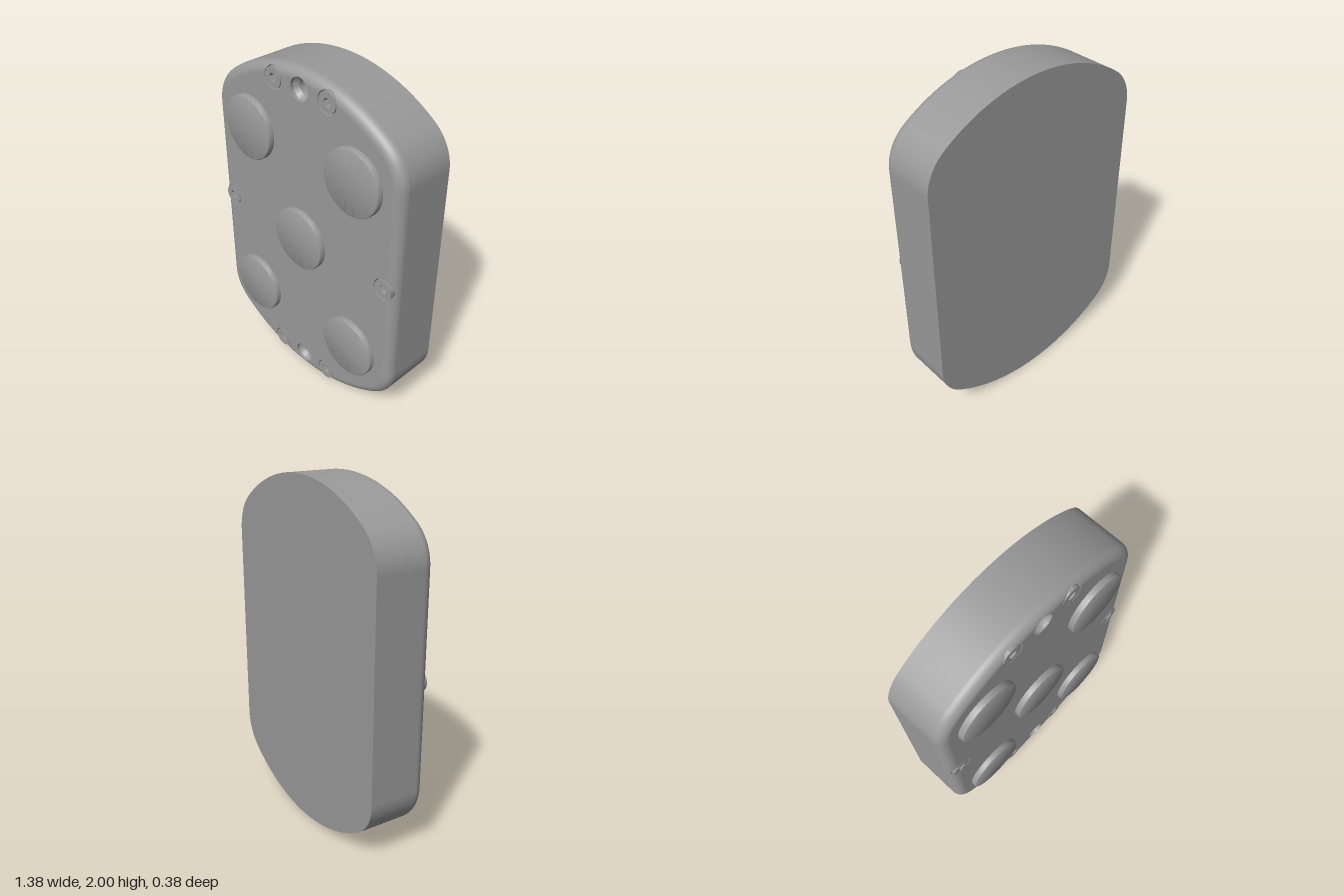
import * as THREE from 'three';
import { toCreasedNormals } from 'three/addons/utils/BufferGeometryUtils.js';

const BACK = -0.19, FRONT = 0.155, ROUND = 0.06; // body depth and front edge rounding
const W = 0.69, CX = 0.426, CY = 0.6, R = W - CX; // half width, corner centre and radius
const PHI = Math.atan2(CY, CX); // where the corner meets the unit-radius end arc
const HOLE = 0.064;
const SCREWS = [[0.197, 1.897], [-0.197, 1.897], [0.197, 0.103], [-0.197, 0.103], [0.612, 1], [-0.612, 1]];
const OPEN_HOLES = [[0, 1.897], [0, 0.103]];
const ALL_HOLES = [...SCREWS, ...OPEN_HOLES];

// Outline points with outward normals, counterclockwise
function outline() {
  const step = 0.005, half = [];
  for (let i = 0; i < 240; i++) half.push([W, 1 - CY + i * step, 1, 0]);
  const arc = (cx, cy, r, a0, a1) => {
    const n = Math.ceil((r * (a1 - a0)) / step);
    for (let i = 0; i < n; i++) {
      const a = a0 + ((a1 - a0) * i) / n, c = Math.cos(a), s = Math.sin(a);
      half.push([cx + r * c, cy + r * s, c, s]);
    }
  };
  arc(CX, 1 + CY, R, 0, PHI);
  arc(0, 1, 1, PHI, Math.PI - PHI);
  arc(-CX, 1 + CY, R, Math.PI - PHI, Math.PI);
  return [...half, ...half.map(([x, y, nx, ny]) => [-x, 2 - y, -nx, -ny])];
}

// Height and normal of the rounded front at any point inside the outline
function surface(x, y) {
  const ax = Math.abs(x), ay = Math.abs(y - 1);
  let inset = W - ax, nx = 1, ny = 0;
  if (ay > CY) {
    const end = ay * CX > ax * CY;
    const dx = end ? ax : ax - CX, dy = end ? ay : ay - CY, d = Math.hypot(dx, dy);
    inset = (end ? 1 : R) - d;
    nx = dx / d;
    ny = dy / d;
  }
  const c = Math.min(1, Math.max(0, (ROUND - inset) / ROUND)), s = Math.sqrt(1 - c * c);
  return { z: FRONT - ROUND + ROUND * s, n: [nx * c * Math.sign(x), ny * c * Math.sign(y - 1), s] };
}

// Push a point out of any screw hole it falls in
function clearHoles(x, y) {
  const r = HOLE + 0.0015;
  for (const [hx, hy] of ALL_HOLES) {
    const d = Math.hypot(x - hx, y - hy);
    if (d < r) return [hx + ((x - hx) * r) / d, hy + ((y - hy) * r) / d];
  }
  return [x, y];
}

// Side wall and rounded front edge, as rings of cross-section
function shellGeometry(base) {
  const pos = [], nor = [], idx = [], n = base.length, steps = 12;
  for (const [x, y, nx, ny] of base) {
    pos.push(x, y, BACK);
    nor.push(nx, ny, 0);
  }
  for (let j = 0; j <= steps; j++) {
    const inset = ROUND * (1 - Math.cos((j / steps) * Math.PI / 2));
    for (const [x, y, nx, ny] of base) {
      const [px, py] = clearHoles(x - nx * inset, y - ny * inset);
      const s = surface(px, py);
      pos.push(px, py, s.z);
      nor.push(...(j ? s.n : [nx, ny, 0]));
    }
  }
  for (let j = 0; j <= steps; j++)
    for (let i = 0; i < n; i++) {
      const a = j * n + i, b = j * n + ((i + 1) % n);
      idx.push(a, b, b + n, a, b + n, a + n);
    }
  const g = new THREE.BufferGeometry();
  g.setAttribute('position', new THREE.Float32BufferAttribute(pos, 3));
  g.setAttribute('normal', new THREE.Float32BufferAttribute(nor, 3));
  g.setIndex(idx);
  return g;
}

// Front face with holes, following the rounded surface
function faceGeometry(base) {
  const shape = new THREE.Shape(base.map(([x, y, nx, ny]) =>
    new THREE.Vector2(...clearHoles(x - nx * ROUND, y - ny * ROUND))));
  for (const [x, y] of ALL_HOLES) shape.holes.push(new THREE.Path().absarc(x, y, HOLE, 0, Math.PI * 2, true));
  const g = new THREE.ShapeGeometry(shape, 24);
  const p = g.attributes.position;
  for (let i = 0; i < p.count; i++) {
    const s = surface(p.getX(i), p.getY(i));
    p.setZ(i, s.z);
    g.attributes.normal.setXYZ(i, ...s.n);
  }
  return g;
}

// Lathe about the z axis from [radius, z] pairs
function turned(profile, segments = 48) {
  const g = new THREE.LatheGeometry(profile.map(([r, z]) => new THREE.Vector2(r, z)), segments);
  return toCreasedNormals(g.rotateX(Math.PI / 2), 0.5);
}

// Recess whose rim is trimmed to the rounded front
function pocket(profile, x, y) {
  const g = turned(profile).translate(x, y, 0), p = g.attributes.position;
  for (let i = 0; i < p.count; i++) p.setZ(i, Math.min(p.getZ(i), surface(p.getX(i), p.getY(i)).z));
  return g;
}

export function createModel() {
  const model = new THREE.Group();
  const grey = new THREE.MeshStandardMaterial({ color: 0x999999 });
  grey.name = 'grey';
  const add = (name, geometry, x = 0, y = 0, z = 0) => {
    const mesh = new THREE.Mesh(geometry, grey);
    mesh.name = name;
    mesh.position.set(x, y, z);
    model.add(mesh);
  };

  // Body
  const base = outline();
  add('bodyShell', shellGeometry(base));
  add('bodyFront', faceGeometry(base));
  const back = new THREE.Shape(base.map(([x, y]) => new THREE.Vector2(x, y)));
  add('bodyBack', new THREE.ShapeGeometry(back).rotateY(Math.PI), 0, 0, BACK);

  // Round raised pads
  const pad = turned([[0.186, FRONT - 0.005], [0.186, 0.181], [0.183, 0.187], [0.177, 0.19], [0, 0.19]], 64);
  for (const [x, y] of [[0, 1.003], [0.392, 1.548], [-0.392, 1.548], [0.392, 0.457], [-0.392, 0.457]])
    add('pad', pad, x, y);

  // Socket-head screws with their recesses and back ends
  const disc = new THREE.Shape().absarc(0, 0, 0.058, 0, Math.PI * 2);
  const hex = [];
  for (let i = 0; i < 6; i++) hex.push(new THREE.Vector2(0.026, 0).rotateAround(new THREE.Vector2(), -i * Math.PI / 3));
  disc.holes.push(new THREE.Path(hex));
  const head = toCreasedNormals(
    new THREE.ExtrudeGeometry(disc, { depth: 0.031, bevelEnabled: false, curveSegments: 24 }), 0.5);
  const tip = new THREE.CircleGeometry(0.03, 32).rotateY(Math.PI);
  for (const [x, y] of SCREWS) {
    add('screwRecess', pocket([[HOLE, FRONT], [HOLE, 0.125], [0, 0.125]], x, y));
    add('screwHead', head, x, y, 0.1245);
    add('screwTip', tip, x, y, BACK - 0.001);
  }

  // Open stepped holes
  for (const [x, y] of OPEN_HOLES)
    add('steppedHole', pocket([[HOLE, FRONT], [HOLE, 0.135], [0.045, 0.11], [0.045, 0.06],
      [0.03, 0.06], [0.03, 0], [0, 0]], x, y));

  return model;
}
